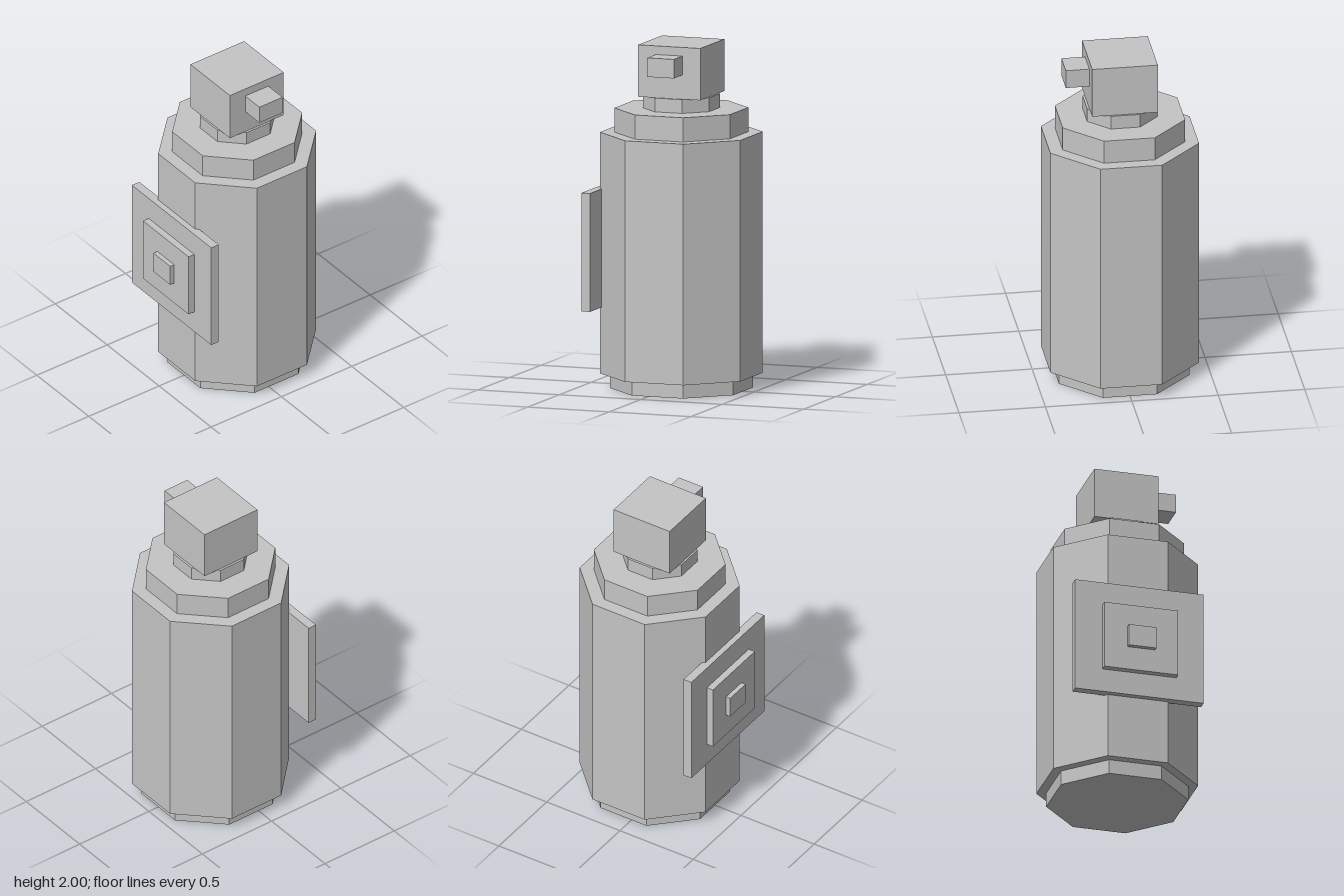
import * as THREE from 'three';

export function createModel() {
  const model = new THREE.Group();
  model.name = 'canister';
  const grey = new THREE.MeshStandardMaterial({ color: 0xc4c4c4 });
  grey.name = 'light grey';
  const axisZ = -0.055;

  const add = (name, geometry, x, y, z) => {
    const mesh = new THREE.Mesh(geometry, grey);
    mesh.name = name;
    mesh.position.set(x, y, z);
    model.add(mesh);
  };

  // Upright eight-sided prism with flats facing the axes
  const prism = (name, apothem, y0, y1) => {
    const r = apothem / Math.cos(Math.PI / 8);
    const g = new THREE.CylinderGeometry(r, r, y1 - y0, 8, 1, false, Math.PI / 8).toNonIndexed();
    g.computeVertexNormals(); // flat facets
    add(name, g, 0, (y0 + y1) / 2, axisZ);
  };

  // Box given by its limits on each axis
  const box = (name, [x0, x1], [y0, y1], [z0, z1]) =>
    add(name, new THREE.BoxGeometry(x1 - x0, y1 - y0, z1 - z0),
      (x0 + x1) / 2, (y0 + y1) / 2, (z0 + z1) / 2);

  // Stacked canister sections
  prism('base', 0.378, 0, 0.085);
  prism('body', 0.43, 0.085, 1.48);
  prism('shoulder', 0.354, 1.48, 1.62);
  prism('neck', 0.203, 1.62, 1.7);

  // Cap with side nozzle
  box('cap', [-0.19, 0.19], [1.7, 2], [-0.245, 0.137]);
  box('nozzle', [0.19, 0.326], [1.84, 1.95], [-0.136, 0.028]);

  // Stepped plates on the front
  box('labelPlate', [-0.383, 0.381], [0.47, 1.155], [0.358, 0.411]);
  box('middlePlate', [-0.22, 0.218], [0.61, 1.015], [0.411, 0.452]);
  box('centrePlate', [-0.082, 0.08], [0.75, 0.88], [0.452, 0.48]);

  return model;
}
